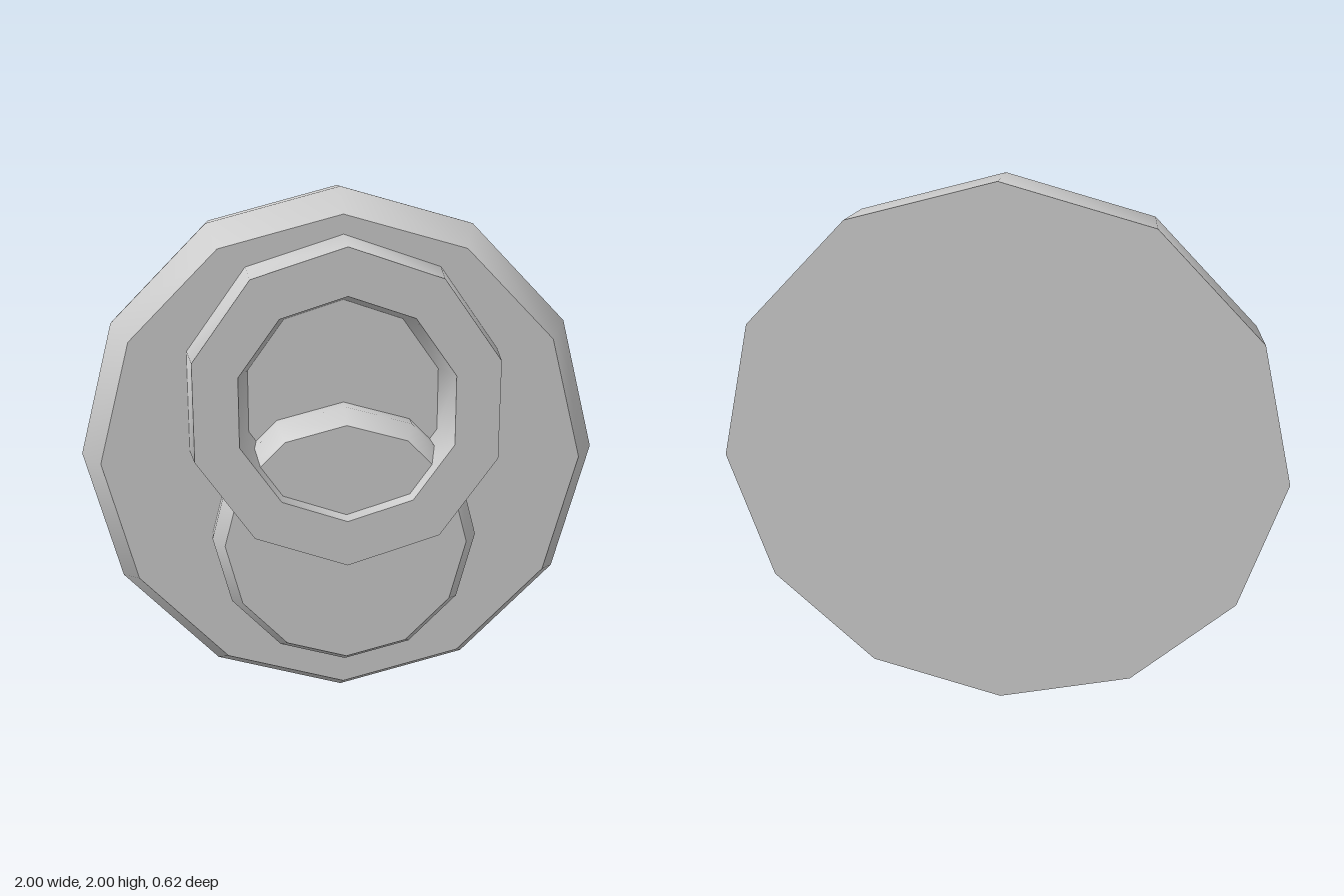
import * as THREE from 'three';
import { toCreasedNormals } from 'three/addons/utils/BufferGeometryUtils.js';

// Turned part facing +z; profile is a list of [radius, z] from back to front.
function turned(name, sides, y, profile) {
  const points = profile.map(([r, z]) => new THREE.Vector2(r, z));
  const lathe = new THREE.LatheGeometry(points, sides);
  lathe.rotateX(Math.PI / 2);
  const mesh = new THREE.Mesh(
    toCreasedNormals(lathe, THREE.MathUtils.degToRad(50)),
    new THREE.MeshStandardMaterial({ color: 0xcccccc })
  );
  mesh.name = name;
  mesh.position.y = y;
  return mesh;
}

export function createModel() {
  const group = new THREE.Group();
  group.name = 'roundPlate';

  // Wide twelve-sided plate with a bevelled front rim
  group.add(turned('basePlate', 12, 1, [
    [0, -0.31], [1, -0.31], [0.99, -0.1], [0.89, 0.08], [0, 0.08],
  ]));

  // Ten-sided raised ring, tapering outside and inside
  group.add(turned('upperRing', 10, 1.227, [
    [0.366, 0.08], [0.594, 0.08], [0.557, 0.31], [0.394, 0.31], [0.366, 0.08],
  ]));

  // Twelve-sided bevelled disc that overlaps the ring from below
  group.add(turned('lowerDisc', 12, 0.73, [
    [0, 0.08], [0.49, 0.08], [0.487, 0.16], [0.437, 0.25], [0, 0.25],
  ]));

  return group;
}
